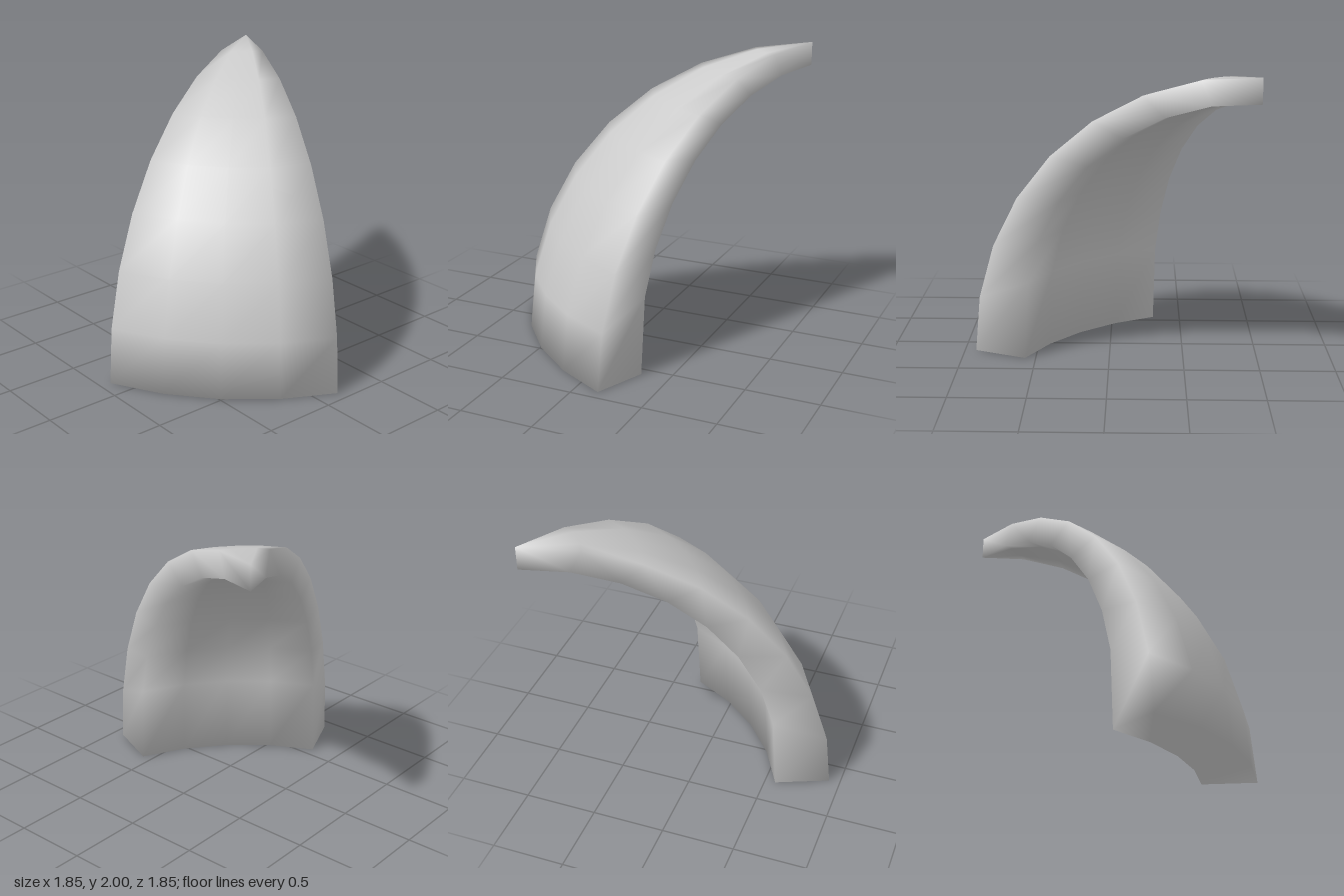
import * as THREE from 'three';

// A 45 degree wedge of a thick dome: outer and inner skins, side walls and base.
const COLS = 4, ROWS = 8;
const OUTER_R = 2, INNER_R = 1.62, INNER_LIFT = 0.22;
const AXIS = 0.924; // dome axis stands at (AXIS, -AXIS)

function createDomeWedge() {
  const positions = [], index = [];
  const loop = 2 * (COLS + 1);

  // each ring runs along the outer skin and back along the inner skin
  for (let i = 0; i < ROWS; i++) {
    const lat = (i / ROWS) * Math.PI / 2;
    for (let k = 0; k < loop; k++) {
      const inner = k > COLS;
      const col = inner ? loop - 1 - k : k;
      const az = Math.PI / 8 + (col / COLS) * Math.PI / 4;
      const radius = inner ? INNER_R : OUTER_R;
      const r = radius * Math.cos(lat);
      const y = radius * Math.sin(lat) + (inner && i > 0 ? INNER_LIFT : 0);
      positions.push(AXIS - r * Math.cos(az), y, -AXIS + r * Math.sin(az));
    }
  }

  // both skins close to a single point on the axis
  const outerTip = ROWS * loop, innerTip = outerTip + 1;
  positions.push(AXIS, OUTER_R, -AXIS, AXIS, INNER_R + INNER_LIFT, -AXIS);

  const id = (i, k) => (i < ROWS ? i * loop + (k % loop) : k % loop > COLS ? innerTip : outerTip);
  const tri = (a, b, c) => {
    if (a !== b && b !== c && c !== a) index.push(a, b, c);
  };
  const quad = (a, b, c, d) => {
    tri(a, b, c);
    tri(a, c, d);
  };

  // skins and side walls
  for (let i = 0; i < ROWS; i++)
    for (let k = 0; k < loop; k++)
      quad(id(i, k), id(i, k + 1), id(i + 1, k + 1), id(i + 1, k));

  // flat base
  for (let j = 0; j < COLS; j++)
    quad(id(0, j), id(0, loop - 1 - j), id(0, loop - 2 - j), id(0, j + 1));

  const geometry = new THREE.BufferGeometry();
  geometry.setAttribute('position', new THREE.Float32BufferAttribute(positions, 3));
  geometry.setIndex(index);
  geometry.computeVertexNormals(); // shared corners give soft edges
  return geometry;
}

export function createModel() {
  const group = new THREE.Group();
  group.name = 'domeSection';
  const shell = new THREE.Mesh(
    createDomeWedge(),
    new THREE.MeshStandardMaterial({ color: 0xcccccc })
  );
  shell.name = 'domeShell';
  group.add(shell);
  return group;
}
